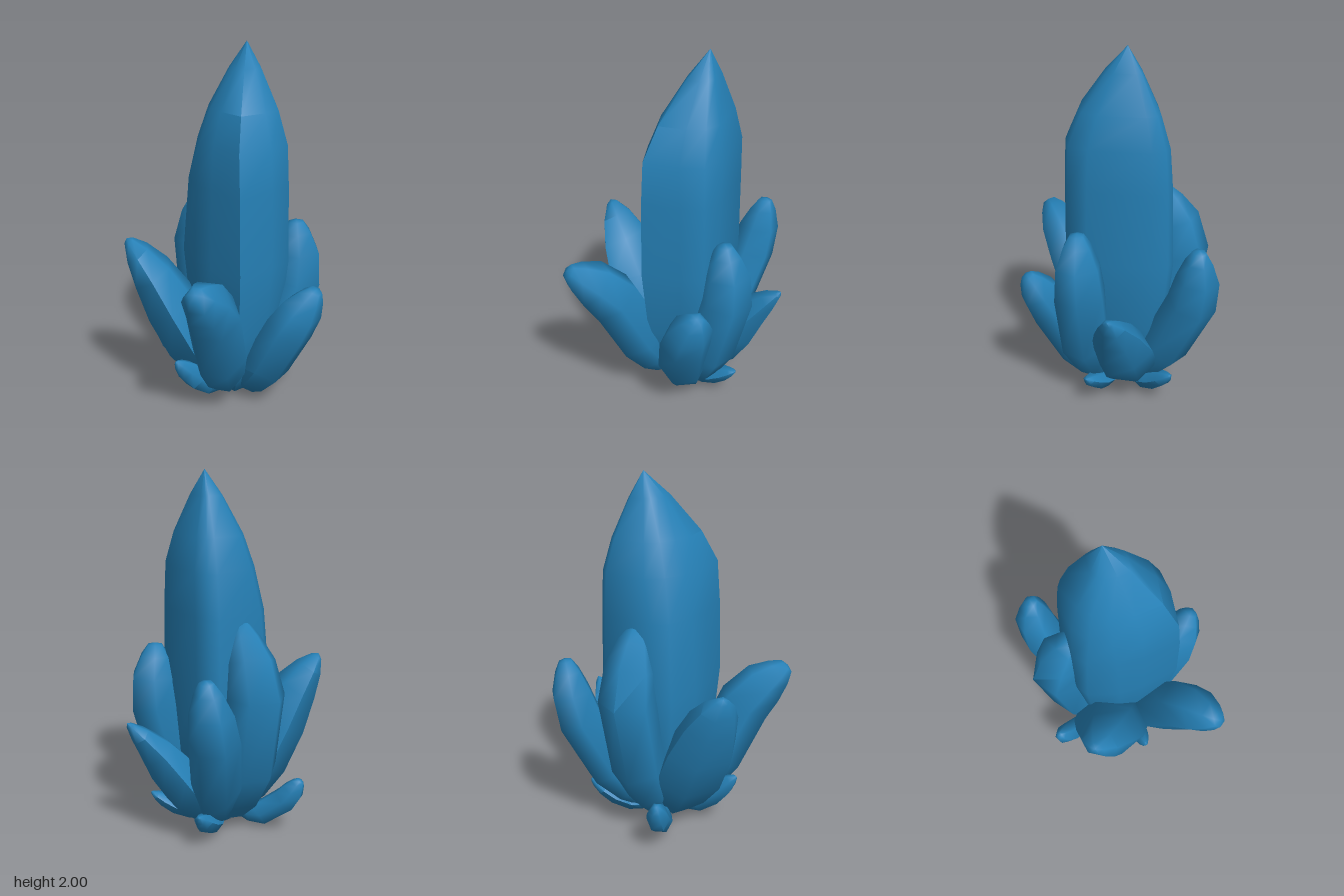
import * as THREE from 'three';
import { toCreasedNormals } from 'three/addons/utils/BufferGeometryUtils.js';

const V = (p) => new THREE.Vector3(...p);

// Closed skin over a stack of rings (each counter-clockwise about the growth axis), with a pole at each end
function skin(rings, bottom, top) {
  const n = rings[0].length, pos = [], idx = [];
  rings.flat().concat([bottom, top]).forEach((p) => pos.push(p.x, p.y, p.z));
  const b = rings.length * n, t = b + 1, last = (rings.length - 1) * n;
  for (let j = 0; j < n; j++) {
    const k = (j + 1) % n;
    idx.push(b, k, j, last + j, last + k, t);
    for (let i = 0; i < rings.length - 1; i++) {
      const r = i * n, s = r + n;
      idx.push(r + j, r + k, s + k, r + j, s + k, s + j);
    }
  }
  const g = new THREE.BufferGeometry();
  g.setAttribute('position', new THREE.Float32BufferAttribute(pos, 3));
  g.setIndex(idx);
  g.computeVertexNormals();
  return toCreasedNormals(g, 1.15);
}

// Swelling of the side crystals: [position along spine, relative radius]
const BLUNT = [[0, 0.5], [0.12, 0.82], [0.3, 1], [0.66, 1], [0.82, 0.86], [0.93, 0.55], [0.99, 0.28]];
const POINTED = [[0, 0.45], [0.12, 0.78], [0.3, 1], [0.5, 0.95], [0.7, 0.7], [0.87, 0.4], [0.97, 0.15]];
const TAPERED = [[0, 0.5], [0.12, 0.8], [0.3, 1], [0.55, 0.96], [0.76, 0.74], [0.9, 0.46], [0.98, 0.18]];

// Six-sided crystal following a curved spine; w is the sideways radius, d the radius in the leaning plane
function crystalGeometry(swell, spine, w, d) {
  const curve = new THREE.CatmullRomCurve3(spine.map(V));
  // a fixed sideways direction keeps the rings from twisting
  const side = V(spine[3]).sub(V(spine[0])).cross(new THREE.Vector3(0, 1, 0)).normalize();
  const rings = swell.map(([t, s]) => {
    const c = curve.getPointAt(t);
    const normal = curve.getTangentAt(t).cross(side).normalize();
    return Array.from({ length: 6 }, (_, j) => {
      const a = (j / 6) * Math.PI * 2;
      return c.clone()
        .addScaledVector(side, Math.cos(a) * w * s)
        .addScaledVector(normal, Math.sin(a) * d * s);
    });
  });
  return skin(rings, curve.getPointAt(0), curve.getPointAt(1));
}

// Tall centre crystal: a body outline that changes into a shoulder outline, then closes on the tip
function mainGeometry() {
  const body = [[0.25, -0.2], [0.215, -0.285], [0.17, -0.31], [-0.15, -0.26], [-0.21, -0.2],
    [-0.23, -0.02], [-0.2, 0.12], [-0.13, 0.32], [0.08, 0.29], [0.2, 0.26], [0.245, 0.15]];
  const shoulder = [[0.25, -0.19], [0.215, -0.26], [0.17, -0.28], [-0.06, -0.24], [-0.13, -0.16],
    [-0.17, -0.05], [-0.17, 0.1], [-0.12, 0.285], [0.07, 0.275], [0.19, 0.24], [0.245, 0.13]];
  const tip = V([0.11, 2, -0.055]);
  const at = (outline, y, s = 1) => outline.map(([x, z]) => V([x * s, y, z * s]));

  // y and scale of the body
  const rings = [[0.01, 0.28], [0.15, 0.55], [0.45, 0.88], [0.85, 1]].map(([y, s]) => at(body, y, s));
  const top = at(shoulder, 1.5);
  rings.push(at(body, 1.27).map((p, i) => p.lerp(V([top[i].x, 1.27, top[i].z]), 0.4)), top);
  // y and remaining width towards the tip
  [[1.67, 0.77], [1.87, 0.35]].forEach(([y, s]) =>
    rings.push(top.map((p) => p.clone().lerp(tip, 1 - s).setY(y))));
  return skin(rings, V([0, 0, 0]), tip);
}

export function createModel() {
  const group = new THREE.Group();
  const blue = new THREE.MeshStandardMaterial({ color: 0x2580b6 });
  blue.name = 'crystalBlue';

  const add = (name, geometry) => {
    const mesh = new THREE.Mesh(geometry, blue);
    mesh.name = name;
    group.add(mesh);
  };
  const crystal = (name, swell, spine, w, d) => add(name, crystalGeometry(swell, spine, w, d));

  add('mainCrystal', mainGeometry());

  // Large crystals around the centre
  crystal('frontRightCrystal', BLUNT,
    [[-0.1, 0.11, 0.1], [-0.2, 0.36, 0.22], [-0.31, 0.7, 0.35], [-0.475, 0.91, 0.5]], 0.15, 0.155);
  crystal('rightCrystal', TAPERED,
    [[-0.1, 0.1, -0.03], [-0.26, 0.4, -0.07], [-0.42, 0.74, -0.13], [-0.55, 0.97, -0.2]], 0.22, 0.165);
  crystal('backLeftCrystal', BLUNT,
    [[0.08, 0.1, -0.11], [0.19, 0.38, -0.3], [0.28, 0.72, -0.43], [0.335, 1.02, -0.45]], 0.135, 0.135);
  crystal('leftTallCrystal', BLUNT,
    [[0.09, 0.08, 0.09], [0.21, 0.38, 0.17], [0.3, 0.76, 0.18], [0.29, 1.06, 0.19]], 0.145, 0.155);
  crystal('frontCrystal', BLUNT,
    [[0.045, 0.06, 0.11], [0.085, 0.28, 0.27], [0.145, 0.53, 0.385], [0.24, 0.77, 0.48]], 0.14, 0.13);
  crystal('leftCrystal', POINTED,
    [[0.07, 0.08, -0.04], [0.23, 0.26, -0.06], [0.4, 0.51, -0.035], [0.56, 0.7, 0]], 0.18, 0.135);
  crystal('backCrystal', BLUNT,
    [[-0.03, 0.1, -0.11], [-0.035, 0.43, -0.26], [-0.03, 0.85, -0.335], [0.0, 1.23, -0.23]], 0.165, 0.165);

  // Small shoots at the foot
  crystal('leftFrontShoot', TAPERED,
    [[0.04, 0.05, 0.04], [0.16, 0.07, 0.08], [0.26, 0.12, 0.11], [0.36, 0.19, 0.145]], 0.075, 0.055);
  crystal('leftBackShoot', TAPERED,
    [[0.05, 0.06, -0.08], [0.15, 0.08, -0.17], [0.23, 0.14, -0.25], [0.31, 0.22, -0.32]], 0.07, 0.06);
  crystal('backRightShoot', BLUNT,
    [[-0.08, 0.08, -0.12], [-0.17, 0.1, -0.24], [-0.24, 0.2, -0.34], [-0.29, 0.33, -0.41]], 0.065, 0.075);
  crystal('rightShoot', TAPERED,
    [[-0.06, 0.08, 0.03], [-0.18, 0.11, 0.06], [-0.3, 0.2, 0.09], [-0.42, 0.33, 0.12]], 0.065, 0.08);

  return group;
}
